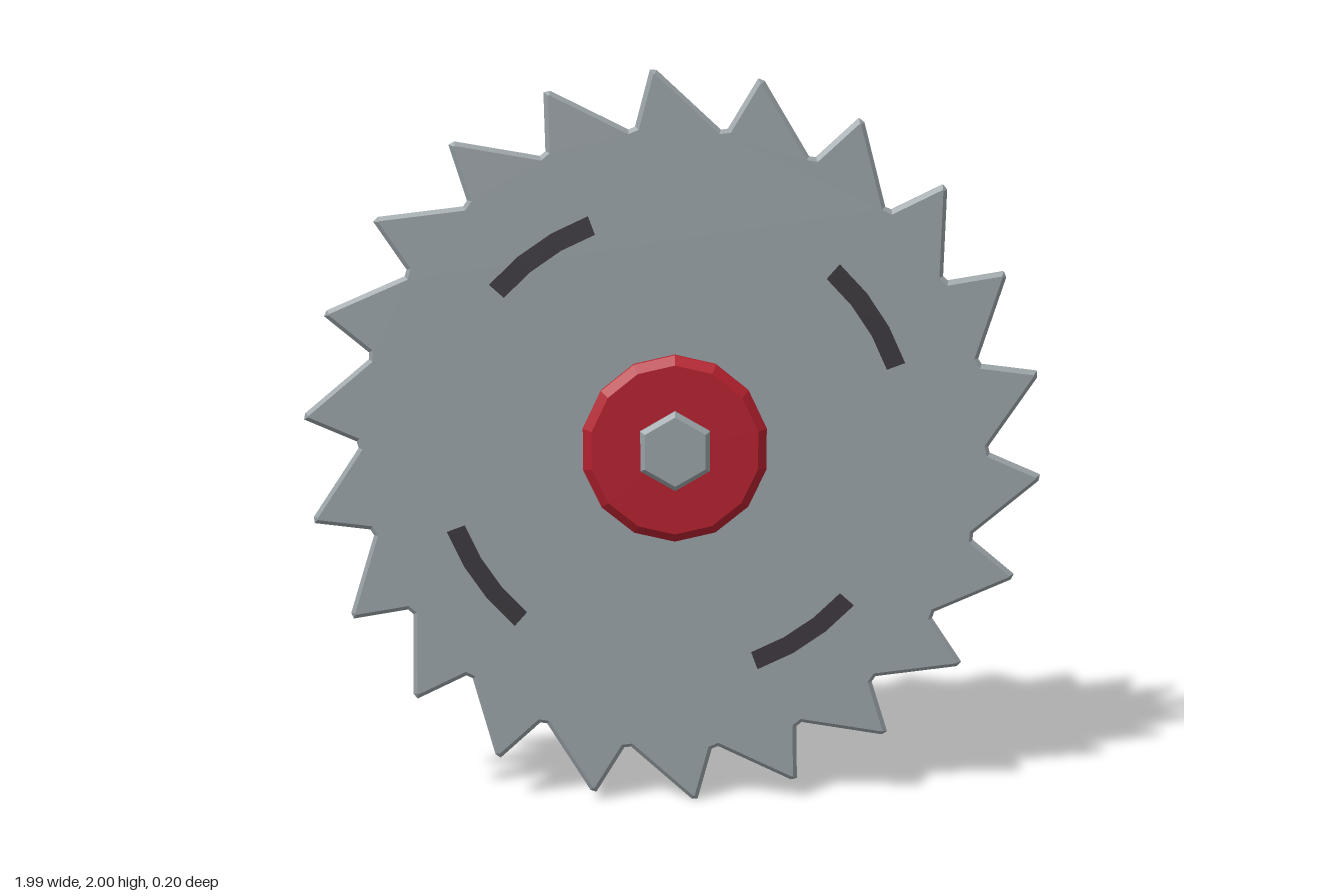
import * as THREE from 'three';

const steel = new THREE.MeshStandardMaterial({ color: 0x98a1a5 });
steel.name = 'steel grey';
const red = new THREE.MeshStandardMaterial({ color: 0xb3202e });
red.name = 'hub red';
const dark = new THREE.MeshStandardMaterial({ color: 0x3c383e });
dark.name = 'slot dark grey';

const rad = THREE.MathUtils.degToRad;

function part(name, geometry, material) {
  const flat = geometry.index ? geometry.toNonIndexed() : geometry;
  flat.computeVertexNormals();
  const mesh = new THREE.Mesh(flat, material);
  mesh.name = name;
  return mesh;
}

// Chamfered polygonal disc with its axis along z
function chamferedDisc(radius, halfDepth, chamfer, sides) {
  const inner = radius - chamfer, edge = halfDepth - chamfer;
  const profile = [
    [0, -halfDepth], [inner, -halfDepth], [radius, -edge],
    [radius, edge], [inner, halfDepth], [0, halfDepth],
  ].map(([r, y]) => new THREE.Vector2(r, y));
  return new THREE.LatheGeometry(profile, sides).rotateX(Math.PI / 2);
}

// Toothed blade with bevelled rim
function bladeGeometry() {
  const teeth = 22, step = 360 / teeth, points = [];
  const add = (r, deg) =>
    points.push(new THREE.Vector2(r * Math.cos(rad(deg)), r * Math.sin(rad(deg))));
  for (let i = 0; i < teeth; i++) {
    const tip = 93.2 + i * step;
    // blunt tip, then the steep side down to the narrow valley of the next tooth
    add(0.998, tip - 0.5);
    add(1.0, tip + 0.5);
    add(0.858, tip + step - 12.6);
    add(0.853, tip + step - 11.4);
  }
  const bevel = 0.012, depth = 0.02;
  return new THREE.ExtrudeGeometry(new THREE.Shape(points), {
    depth, bevelEnabled: true, bevelThickness: bevel, bevelSize: bevel,
    bevelOffset: -bevel, bevelSegments: 1,
  }).translate(0, 0, -depth / 2);
}

// Painted curved slots on one face of the blade
function slots(name, angles) {
  const group = new THREE.Group();
  group.name = name;
  for (const deg of angles) {
    const slot = part('slot', new THREE.RingGeometry(0.608, 0.66, 2, 1, rad(deg - 14), rad(28)), dark);
    slot.position.z = 0.024;
    group.add(slot);
  }
  return group;
}

export function createModel() {
  const model = new THREE.Group();
  model.name = 'sawBlade';

  const wheel = new THREE.Group();
  wheel.name = 'wheel';
  wheel.position.y = 1;
  model.add(wheel);

  wheel.add(part('blade', bladeGeometry(), steel));
  wheel.add(part('hub', chamferedDisc(0.253, 0.073, 0.025, 14), red));
  wheel.add(part('hexBolt', chamferedDisc(0.107, 0.1, 0.014, 6), steel));

  wheel.add(slots('frontSlots', [34.3, 124.3, 214.3, 304.3]));
  const back = slots('backSlots', [34.3, 214.3, 304.3]);
  back.rotation.y = Math.PI;
  wheel.add(back);

  return model;
}
